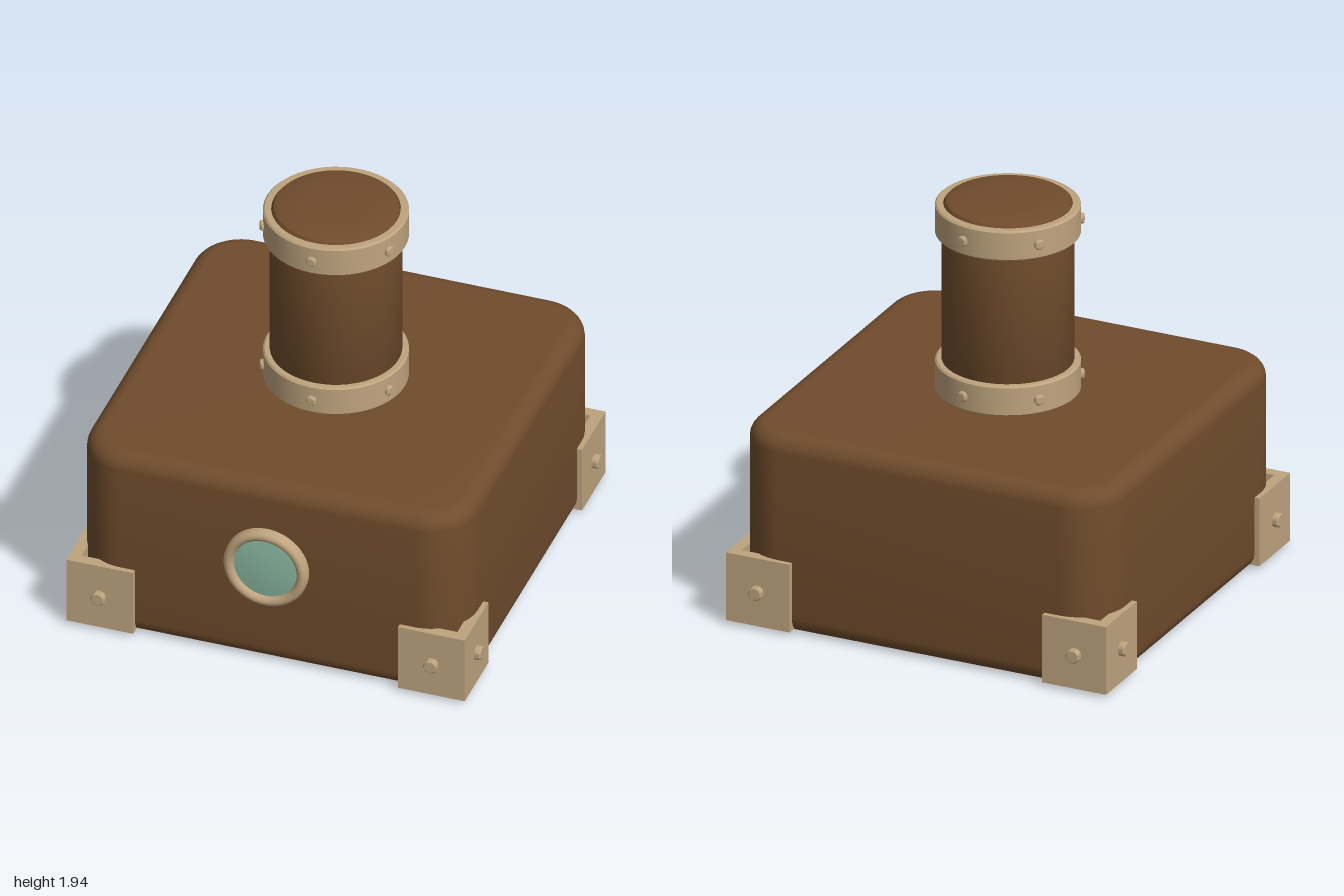
import * as THREE from 'three';
import { toCreasedNormals } from 'three/addons/utils/BufferGeometryUtils.js';

const material = (name, color) => {
  const m = new THREE.MeshStandardMaterial({ color });
  m.name = name;
  return m;
};

export function createModel() {
  const brown = material('brown', 0x704c2c);
  const tan = material('tan', 0xbfa47e);
  const green = material('glass green', 0x8ab8a2);

  const model = new THREE.Group();
  model.name = 'chimneyBox';

  const add = (parent, name, geometry, mat, x = 0, y = 0, z = 0) => {
    const mesh = new THREE.Mesh(geometry, mat);
    mesh.name = name;
    mesh.position.set(x, y, z);
    parent.add(mesh);
    return mesh;
  };
  const lathe = (points, segments = 48) => toCreasedNormals(
    new THREE.LatheGeometry(points.map(([r, y]) => new THREE.Vector2(r, y)), segments), 0.6);

  // Body: rounded square with softened top and bottom edges
  const bevel = 0.08, h = 0.945 - bevel, r = 0.15;
  const plan = new THREE.Shape();
  plan.absarc(h - r, h - r, r, 0, Math.PI / 2);
  plan.absarc(r - h, h - r, r, Math.PI / 2, Math.PI);
  plan.absarc(r - h, r - h, r, Math.PI, Math.PI * 1.5);
  plan.absarc(h - r, r - h, r, Math.PI * 1.5, Math.PI * 2);
  plan.closePath();
  const body = new THREE.ExtrudeGeometry(plan, {
    depth: 0.978 - 2 * bevel, bevelSize: bevel, bevelThickness: bevel, bevelSegments: 6, curveSegments: 10,
  });
  body.rotateX(-Math.PI / 2);
  add(model, 'body', toCreasedNormals(body, 0.7), brown, 0, bevel, 0);

  // Chimney with a slightly domed cap
  add(model, 'chimney', lathe([
    [0.285, 0.97], [0.305, 1.0], [0.305, 1.89], [0.3, 1.91], [0.285, 1.93],
    [0.26, 1.938], [0.14, 1.94], [0, 1.941],
  ]), brown);

  // Two riveted bands round the chimney
  const rivetAngles = [0, 65.5, 168, -129, -65.5];
  for (const [name, y] of [['lowerBand', 0.99], ['upperBand', 1.77]]) {
    const band = new THREE.Group();
    band.name = name;
    band.position.y = y;
    model.add(band);
    add(band, 'ring', lathe([
      [0.298, 0], [0.328, 0], [0.336, 0.008], [0.336, 0.142], [0.328, 0.15], [0.298, 0.15], [0.298, 0],
    ]), tan);
    for (const degrees of rivetAngles) {
      const a = THREE.MathUtils.degToRad(degrees);
      const rivet = add(band, 'rivet', lathe([[0.025, 0], [0.025, 0.026], [0.019, 0.032], [0, 0.033]], 16),
        tan, 0.32 * Math.sin(a), 0.073, 0.32 * Math.cos(a));
      rivet.rotation.set(Math.PI / 2, 0, -a);
    }
  }

  // Porthole on the front
  const porthole = new THREE.Group();
  porthole.name = 'porthole';
  porthole.position.set(0, 0.54, 0.935);
  porthole.rotation.x = Math.PI / 2;
  model.add(porthole);
  add(porthole, 'frame', lathe([
    [0.204, 0], [0.204, 0.035], [0.2, 0.049], [0.19, 0.059], [0.178, 0.062],
    [0.166, 0.058], [0.157, 0.048], [0.153, 0.035], [0.153, 0],
  ]), tan);
  add(porthole, 'glass', lathe([[0.156, 0.036], [0.11, 0.041], [0.06, 0.044], [0, 0.045]]), green);

  // L-shaped corner brackets, each with two bolts
  const outer = 0.97, inner = 0.915, end = 0.645;
  const angle = new THREE.Shape([
    [end, inner], [inner, inner], [inner, end], [outer, end], [outer, outer], [end, outer],
  ].map(([x, z]) => new THREE.Vector2(x, -z)));
  const bracketGeometry = new THREE.ExtrudeGeometry(angle, { depth: 0.34, bevelEnabled: false });
  bracketGeometry.rotateX(-Math.PI / 2);
  const boltGeometry = lathe([[0.034, 0], [0.034, 0.044], [0.028, 0.05], [0, 0.05]], 24);
  for (let i = 0; i < 4; i++) {
    const corner = new THREE.Group();
    corner.name = 'cornerBracket';
    corner.rotation.y = i * Math.PI / 2;
    model.add(corner);
    add(corner, 'bracket', bracketGeometry, tan, 0, 0.02, 0);
    add(corner, 'frontBolt', boltGeometry, tan, 0.81, 0.19, 0.95).rotation.x = Math.PI / 2;
    add(corner, 'sideBolt', boltGeometry, tan, 0.95, 0.19, 0.81).rotation.z = -Math.PI / 2;
  }

  return model;
}
